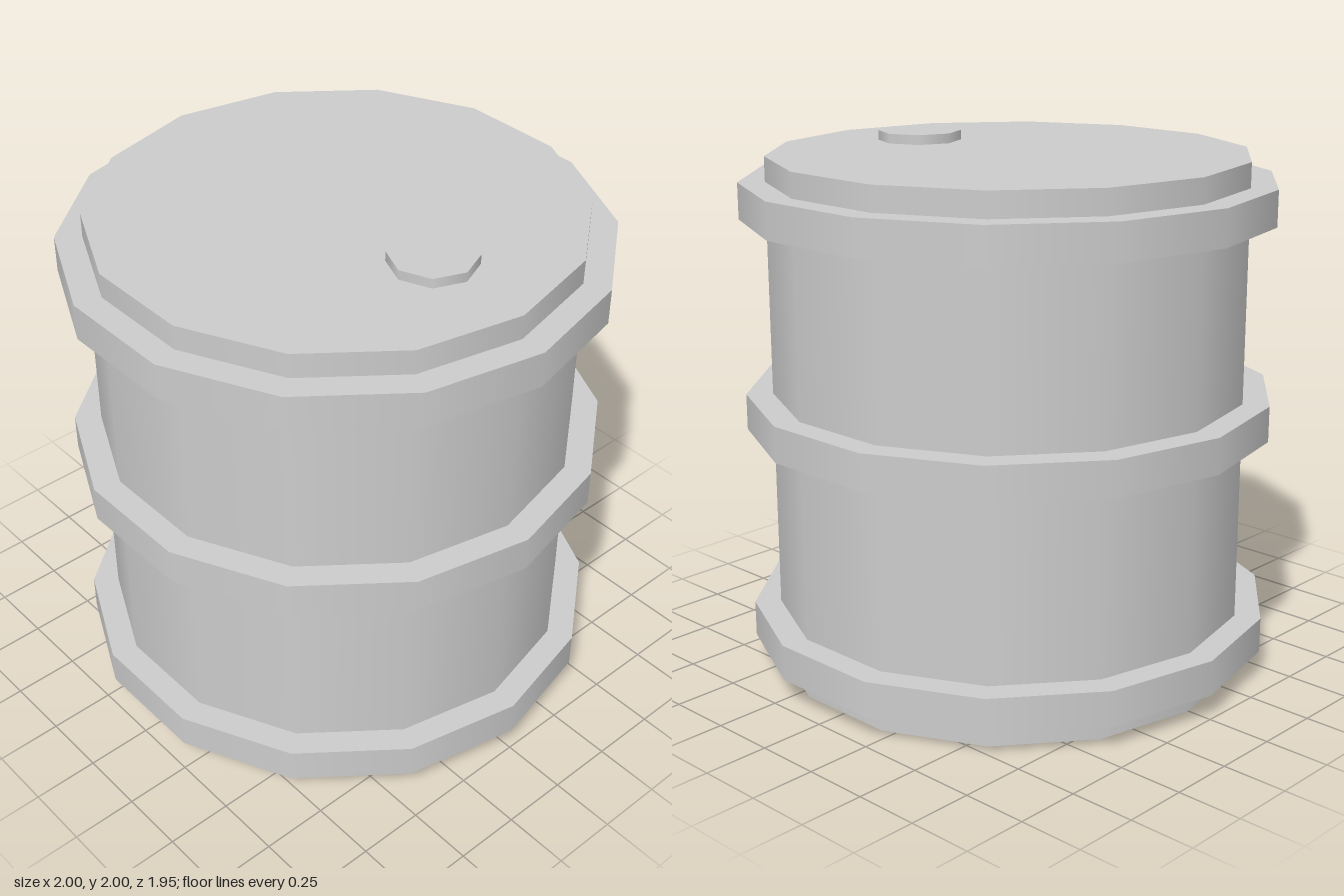
import * as THREE from 'three';

export function createModel() {
  const group = new THREE.Group();
  const metal = new THREE.MeshStandardMaterial({ color: 0xcccccc });
  metal.name = 'grey metal';

  // Upright prism with smooth sides and a corner on the +x axis
  const addDrum = (name, radius, bottom, top, sides, x = 0) => {
    const geometry = new THREE.CylinderGeometry(
      radius, radius, top - bottom, sides, 1, false, Math.PI / 2);
    const mesh = new THREE.Mesh(geometry, metal);
    mesh.name = name;
    mesh.position.set(x, (bottom + top) / 2, 0);
    group.add(mesh);
  };

  // Barrel body
  addDrum('barrelBody', 0.9, 0, 1.963, 14);

  // Three raised hoops
  const hoops = { lowerHoop: 0.163, middleHoop: 1.002, upperHoop: 1.802 };
  for (const [name, y] of Object.entries(hoops)) {
    addDrum(name, 1, y - 0.068, y + 0.068, 14);
  }

  // Filler cap on the lid
  addDrum('fillerCap', 0.16, 1.95, 2, 8, 0.48);

  return group;
}
